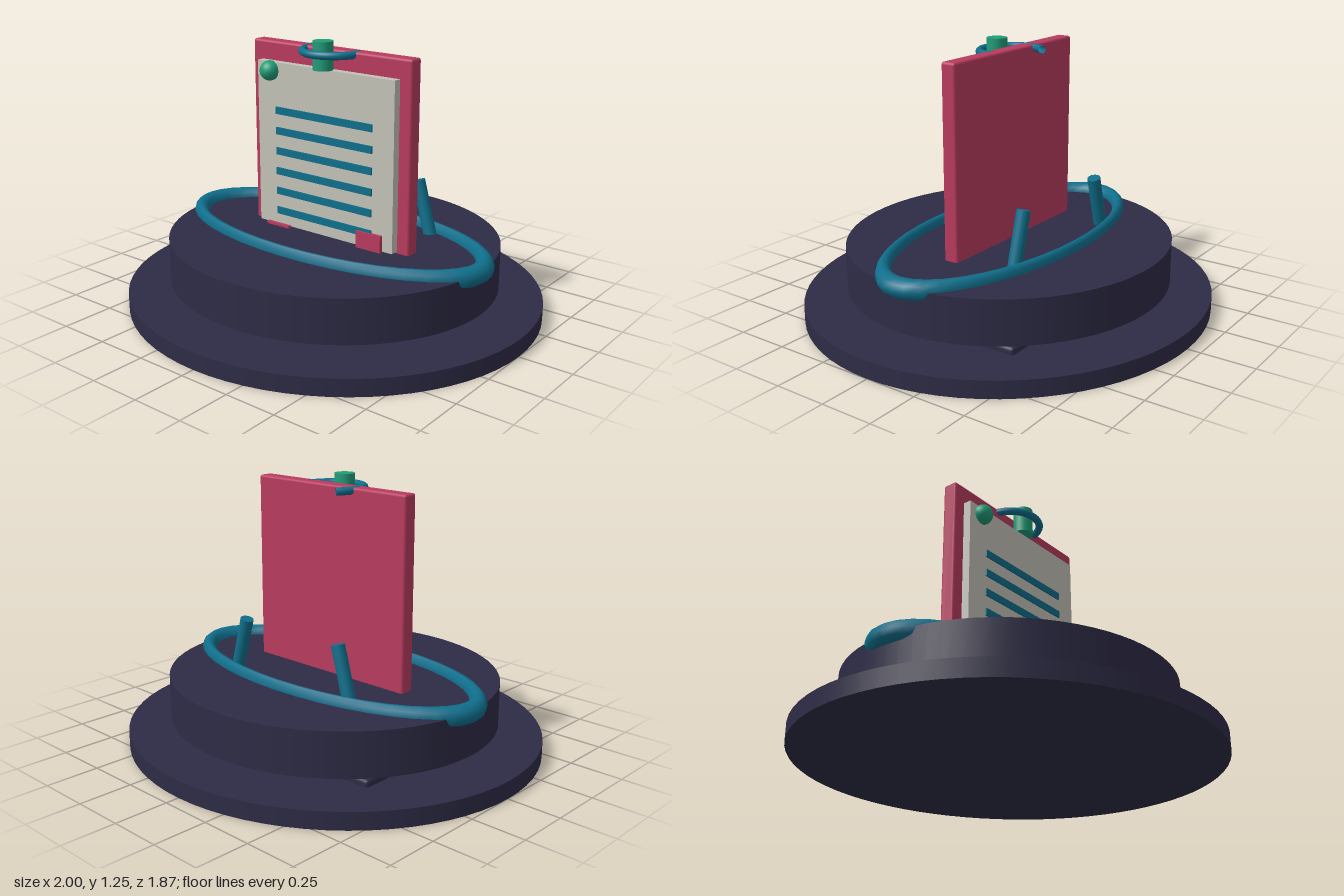
import * as THREE from 'three';
import { RoundedBoxGeometry } from 'three/addons/geometries/RoundedBoxGeometry.js';

const flat = (name, color, side = THREE.FrontSide) => {
  const m = new THREE.MeshStandardMaterial({ color, side });
  m.name = name;
  return m;
};

export function createModel() {
  const navy = flat('navy', 0x2e2c46);
  const crimson = flat('crimson', 0xb83b5e);
  const teal = flat('teal', 0x0f6f8c, THREE.DoubleSide);
  const green = flat('green', 0x1f9d78);
  const paper = flat('paper', 0xc4c2b8);

  const model = new THREE.Group();
  const add = (name, geometry, material, x = 0, y = 0, z = 0) => {
    const mesh = new THREE.Mesh(geometry, material);
    mesh.name = name;
    mesh.position.set(x, y, z);
    model.add(mesh);
    return mesh;
  };
  // Box given by its limits on each axis
  const box = (name, material, [x0, x1], [y0, y1], [z0, z1], bevel = 0) => {
    const size = [x1 - x0, y1 - y0, z1 - z0];
    const geometry = bevel ? new RoundedBoxGeometry(...size, 2, bevel) : new THREE.BoxGeometry(...size);
    return add(name, geometry, material, (x0 + x1) / 2, (y0 + y1) / 2, (z0 + z1) / 2);
  };

  // Slightly oval base disc and the drum floating above it
  add('baseDisc', new THREE.CylinderGeometry(1, 1, 0.08, 72), navy, 0, 0.04, 0).scale.z = 0.937;
  add('drum', new THREE.CylinderGeometry(0.793, 0.793, 0.207, 72), navy, 0, 0.229, 0).scale.z = 0.939;

  // Long oval hoop lying on the drum
  const hoop = new THREE.TorusGeometry(0.795, 0.046, 10, 40).rotateX(Math.PI / 2).scale(1, 1, 0.455);
  add('ovalHoop', hoop, teal, 0, 0.33, 0);

  // Board with the sheet in front
  box('board', crimson, [-0.45, 0.45], [0.3, 1.215], [-0.036, 0.036], 0.012);
  box('sheet', paper, [-0.39, 0.39], [0.34, 1.125], [0.03, 0.075]);

  // Ruled lines
  for (let i = 0; i < 6; i++) {
    const y = 0.9 - i * 0.098;
    box('ruledLine', teal, [-0.278, 0.276], [y - 0.017, y + 0.017], [0.07, 0.083]);
  }

  // Small tabs at the foot of the sheet
  box('rightTab', crimson, [0.2, 0.335], [0.335, 0.415], [0.07, 0.092]);
  box('leftTab', crimson, [-0.335, -0.2], [0.265, 0.345], [0.07, 0.092]);

  // Pin, peg and open ring at the top
  add('pin', new THREE.SphereGeometry(0.047, 24, 16), green, -0.31, 1.085, 0.083);
  add('peg', new THREE.CylinderGeometry(0.047, 0.047, 0.13, 24), green, 0, 1.19, 0.075);
  const ring = new THREE.TorusGeometry(0.143, 0.018, 10, 32, 3.85).rotateX(Math.PI / 2);
  add('openRing', ring, teal, 0, 1.2, -0.005);

  // Leaning rear posts and their feet
  const up = new THREE.Vector3(0, 1, 0);
  for (const side of [-1, 1]) {
    const low = new THREE.Vector3(side * 0.43, 0.085, -0.277);
    const high = new THREE.Vector3(side * 0.29, 0.582, -0.277);
    const lean = high.clone().sub(low);
    const post = add('rearPost', new THREE.CylinderGeometry(0.031, 0.031, lean.length(), 20), teal);
    post.position.copy(low).add(high).multiplyScalar(0.5);
    post.quaternion.setFromUnitVectors(up, lean.normalize());
    const xs = side > 0 ? [0.31, 0.62] : [-0.62, -0.31];
    box('foot', navy, xs, [0.07, 0.112], [-0.455, -0.312], 0.015);
  }
  return model;
}
